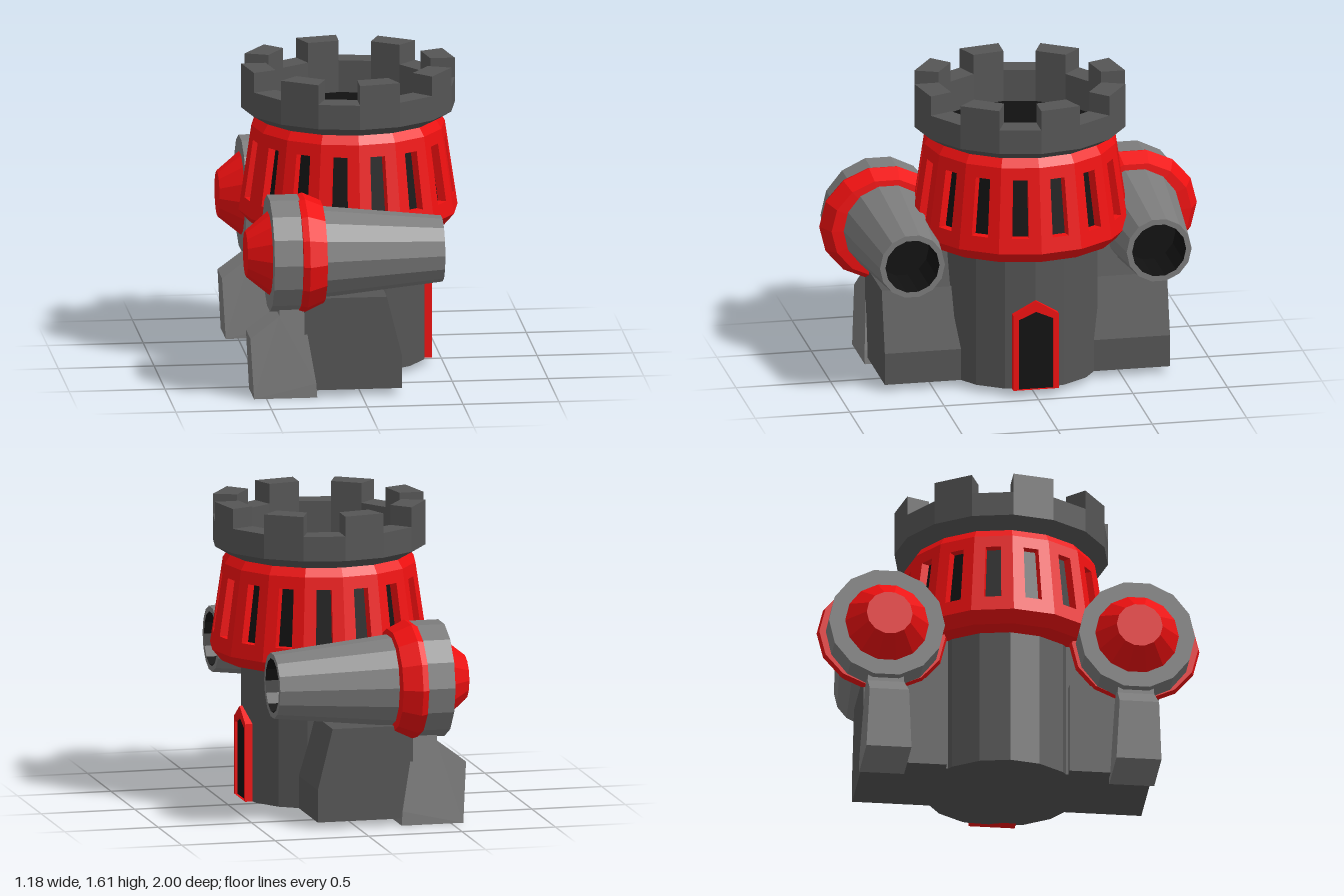
import * as THREE from 'three';

const paint = (color) => new THREE.MeshStandardMaterial({ color, flatShading: true, side: THREE.DoubleSide });
const SIDES = 16, STEP = Math.PI * 2 / SIDES;

export function createModel() {
  const model = new THREE.Group();
  const red = paint(0xee1010), dark = paint(0x555555), grey = paint(0x7c7c7c), black = paint(0x111111);

  const add = (parent, name, geometry, material) => {
    const mesh = new THREE.Mesh(geometry, material);
    mesh.name = name;
    parent.add(mesh);
    return mesh;
  };
  const lathe = (points, sides = SIDES) =>
    new THREE.LatheGeometry(points.map(([r, y]) => new THREE.Vector2(r, y)), sides);
  const polygon = (points) => new THREE.Shape(points.map(([x, y]) => new THREE.Vector2(x, y)));
  const extrude = (shape, depth) => new THREE.ExtrudeGeometry(shape, { depth, bevelEnabled: false });

  // Round tower
  const tower = new THREE.Group();
  tower.name = 'tower';
  tower.position.x = 0.0125;
  model.add(tower);
  add(tower, 'towerBody', lathe([[0, 0.04], [0.41, 0.04], [0.41, 0.85]]), dark);

  // Flared gallery: rims, dark lining and sixteen slotted panels
  const yLow = 0.83, yHigh = 1.28, rLow = 0.572, rHigh = 0.505;
  add(tower, 'galleryLowerRim', lathe([[0.4, 0.77], [0.52, 0.77], [rLow, yLow]]), red);
  add(tower, 'galleryUpperRim', lathe([[rHigh, yHigh], [0.475, 1.325]]), red);
  add(tower, 'galleryLining', lathe([[rLow - 0.05, yLow], [rHigh - 0.05, yHigh]]), black);

  const apothem = (y) =>
    THREE.MathUtils.mapLinear(y, yLow, yHigh, rLow, rHigh) * Math.cos(STEP / 2);
  const wLow = rLow * Math.sin(STEP / 2), wHigh = rHigh * Math.sin(STEP / 2);
  const panelShape = polygon([[-wLow, yLow], [wLow, yLow], [wHigh, yHigh], [-wHigh, yHigh]]);
  panelShape.holes.push(polygon([[-0.045, 0.91], [-0.04, 1.215], [0.04, 1.215], [0.045, 0.91]]));
  const panel = extrude(panelShape, 0.045);
  panel.translate(0, 0, -0.045);
  const p = panel.attributes.position;
  for (let i = 0; i < p.count; i++) {
    const a = apothem(p.getY(i)), radius = a + p.getZ(i);
    p.setXYZ(i, p.getX(i) * radius / a, p.getY(i), radius);
  }
  panel.computeVertexNormals();
  for (let i = 0; i < SIDES; i++) {
    add(tower, 'galleryPanel', panel, red).rotation.y = (i + 0.5) * STEP;
  }

  // Crown wall, floor and merlons
  const rOut = 0.5575, rIn = 0.43, wallTop = 1.505;
  add(tower, 'crownWall', lathe([[0.4, 1.325], [0.475, 1.325], [rOut, 1.375],
    [rOut, wallTop], [rIn, wallTop], [rIn, 1.33]]), dark);
  add(tower, 'crownFloor', lathe([[rIn, 1.335], [0, 1.335]]), black);
  const s = Math.sin(STEP), c = Math.cos(STEP);
  const merlon = extrude(polygon([[0, -rOut], [rOut * s, -rOut * c], [rIn * s, -rIn * c], [0, -rIn]]), 0.105);
  merlon.rotateX(-Math.PI / 2).translate(0, wallTop, 0);
  for (let i = 0; i < SIDES / 2; i++) {
    add(tower, 'merlon', merlon, dark).rotation.y = i * 2 * STEP;
  }

  // Pointed doorway facing +x
  const arch = (w, bottom, shoulder, peak) =>
    polygon([[-w, bottom], [w, bottom], [w, shoulder], [0, peak], [-w, shoulder]]);
  const frameShape = arch(0.12, 0.04, 0.45, 0.525);
  frameShape.holes.push(arch(0.092, 0.041, 0.425, 0.465));
  const door = new THREE.Group();
  door.name = 'doorway';
  door.rotation.y = Math.PI / 2;
  model.add(door);
  add(door, 'doorFrame', extrude(frameShape, 0.06), red).position.z = 0.378;
  add(door, 'doorOpening', extrude(arch(0.1, 0.042, 0.43, 0.475), 0.04), black).position.z = 0.386;

  // Cannon on one side, lying along x
  const turned = (points) => lathe(points, 14).rotateZ(-Math.PI / 2);
  const makeSide = (sign) => {
    const side = new THREE.Group();
    side.name = sign > 0 ? 'frontCannon' : 'backCannon';

    const gun = new THREE.Group();
    gun.name = 'cannon';
    gun.position.set(0, 0.755, sign * 0.653);
    side.add(gun);
    add(gun, 'barrel', turned([[0.24, -0.22], [0.172, 0.428], [0.143, 0.428]]), grey);
    add(gun, 'bore', turned([[0.143, 0.428], [0.143, 0.15], [0, 0.15]]), black);
    add(gun, 'breechDrum', turned([[0, -0.477], [0.303, -0.477], [0.303, -0.3]]), grey);
    add(gun, 'breechCap', turned([[0, -0.597], [0.12, -0.597], [0.22, -0.475]]), red);
    const band = add(gun, 'breechBand', turned([[0.28, -0.328], [0.32, -0.328], [0.33, -0.295],
      [0.285, -0.2], [0.22, -0.195]]), red);
    band.scale.set(1, 0.94, 1.03);
    band.position.z = sign * 0.007;

    // Stone block under the barrel
    const block = extrude(polygon([[-0.3, 0.04], [0.21, 0.04], [0.21, 0.21], [0.13, 0.53], [-0.3, 0.53]]), 0.435);
    add(side, 'supportBlock', block, dark).position.z = sign > 0 ? 0.32 : -0.755;

    // Buttress joining the block to the tower
    const buttress = extrude(polygon([[-0.25, 0.04], [0.19, 0.04], [0.13, 0.45], [0.06, 0.78], [-0.25, 0.78]]), 0.2);
    add(side, 'buttress', buttress, dark).position.z = sign > 0 ? 0.3 : -0.5;

    // Flared rear foot, narrowing upwards
    const foot = extrude(polygon([[-0.565, 0.005], [-0.235, 0.005], [-0.24, 0.08], [-0.285, 0.34],
      [-0.31, 0.52], [-0.43, 0.5], [-0.43, 0.44], [-0.583, 0.325]]), 0.235);
    foot.translate(0, 0, -0.1175);
    const f = foot.attributes.position;
    for (let i = 0; i < f.count; i++) f.setZ(i, f.getZ(i) * (1 - 0.55 * Math.max(0, f.getY(i) - 0.1)));
    foot.computeVertexNormals();
    add(side, 'rearFoot', foot, grey).position.z = sign * 0.653;
    return side;
  };
  model.add(makeSide(1), makeSide(-1));
  return model;
}
